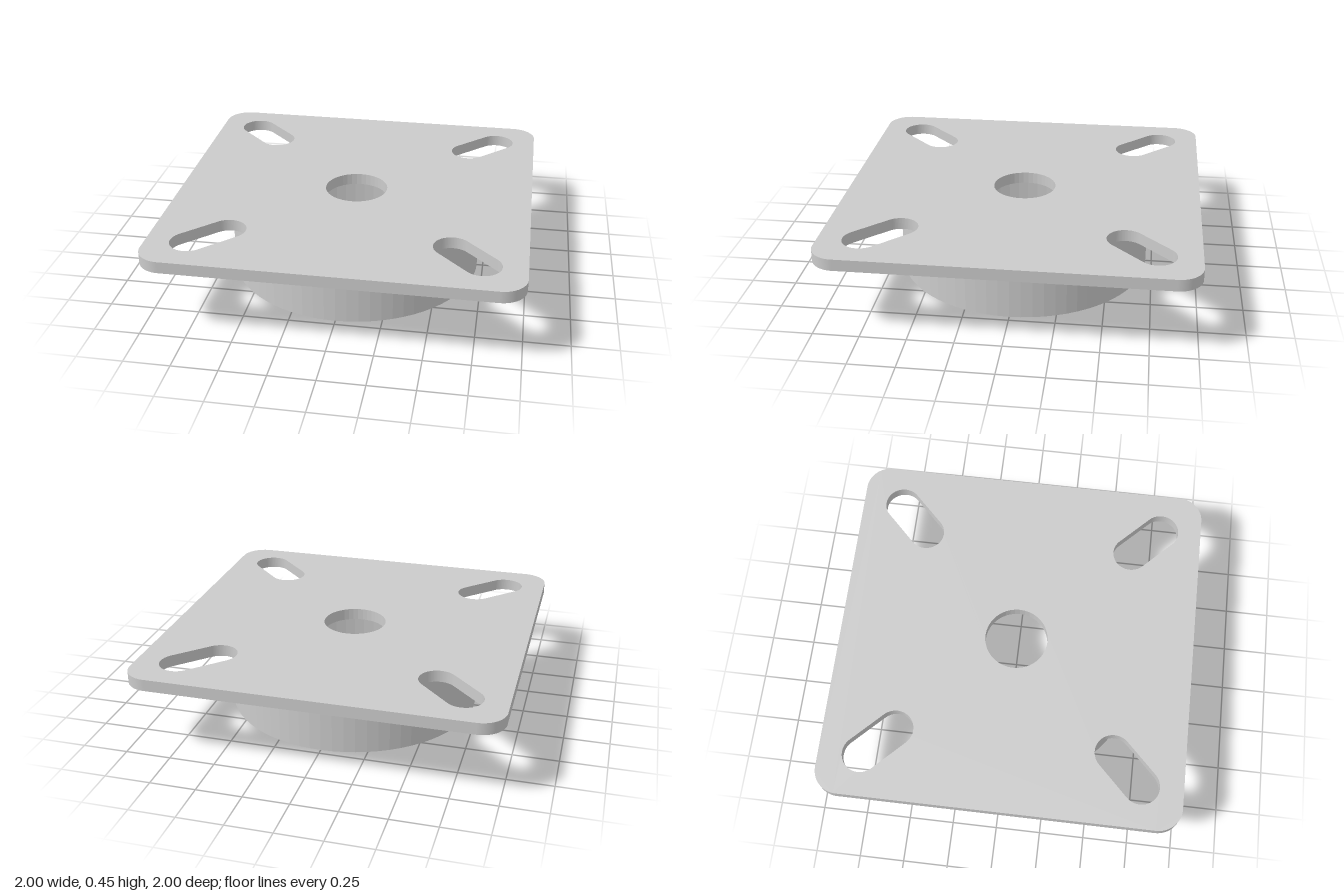
import * as THREE from 'three';

const PLATE_BOTTOM = 0.385, PLATE_TOP = 0.45;

// Extrude a flat shape upwards from y = base
function slab(name, shape, base, height, curveSegments, material) {
  const geometry = new THREE.ExtrudeGeometry(shape, { depth: height, bevelEnabled: false, curveSegments });
  geometry.rotateX(-Math.PI / 2);
  geometry.translate(0, base, 0);
  const mesh = new THREE.Mesh(geometry, material);
  mesh.name = name;
  return mesh;
}

function circlePath(radius) {
  return new THREE.Path().absarc(0, 0, radius, 0, Math.PI * 2, true);
}

// Rounded slot lying on a diagonal, between two distances from the centre
function slotPath(angle, inner, outer, radius) {
  const c = Math.cos(angle), s = Math.sin(angle);
  const path = new THREE.Path();
  path.absarc(c * outer, s * outer, radius, angle - Math.PI / 2, angle + Math.PI / 2, false);
  path.absarc(c * inner, s * inner, radius, angle + Math.PI / 2, angle + Math.PI * 1.5, false);
  path.closePath();
  return path;
}

export function createModel() {
  const group = new THREE.Group();
  group.name = 'mountingFlange';
  const material = new THREE.MeshStandardMaterial({ color: 0xcccccc });

  // Square plate with rounded corners, a centre hole and four diagonal slots
  const plate = new THREE.Shape();
  const r = 0.135, k = 1 - r;
  [[k, k], [-k, k], [-k, -k], [k, -k]].forEach(([x, y], i) => {
    plate.absarc(x, y, r, i * Math.PI / 2, (i + 1) * Math.PI / 2, false);
  });
  plate.closePath();
  plate.holes.push(circlePath(0.177));
  for (let i = 0; i < 4; i++) {
    plate.holes.push(slotPath(Math.PI / 4 + i * Math.PI / 2, 0.603 * Math.SQRT2, 0.767 * Math.SQRT2, 0.102));
  }
  group.add(slab('plate', plate, PLATE_BOTTOM, PLATE_TOP - PLATE_BOTTOM, 20, material));

  // Thin-walled collar beneath the plate
  const collar = new THREE.Shape().absarc(0, 0, 0.715, 0, Math.PI * 2, false);
  collar.holes.push(circlePath(0.687));
  group.add(slab('collar', collar, 0, PLATE_BOTTOM, 36, material));

  return group;
}
